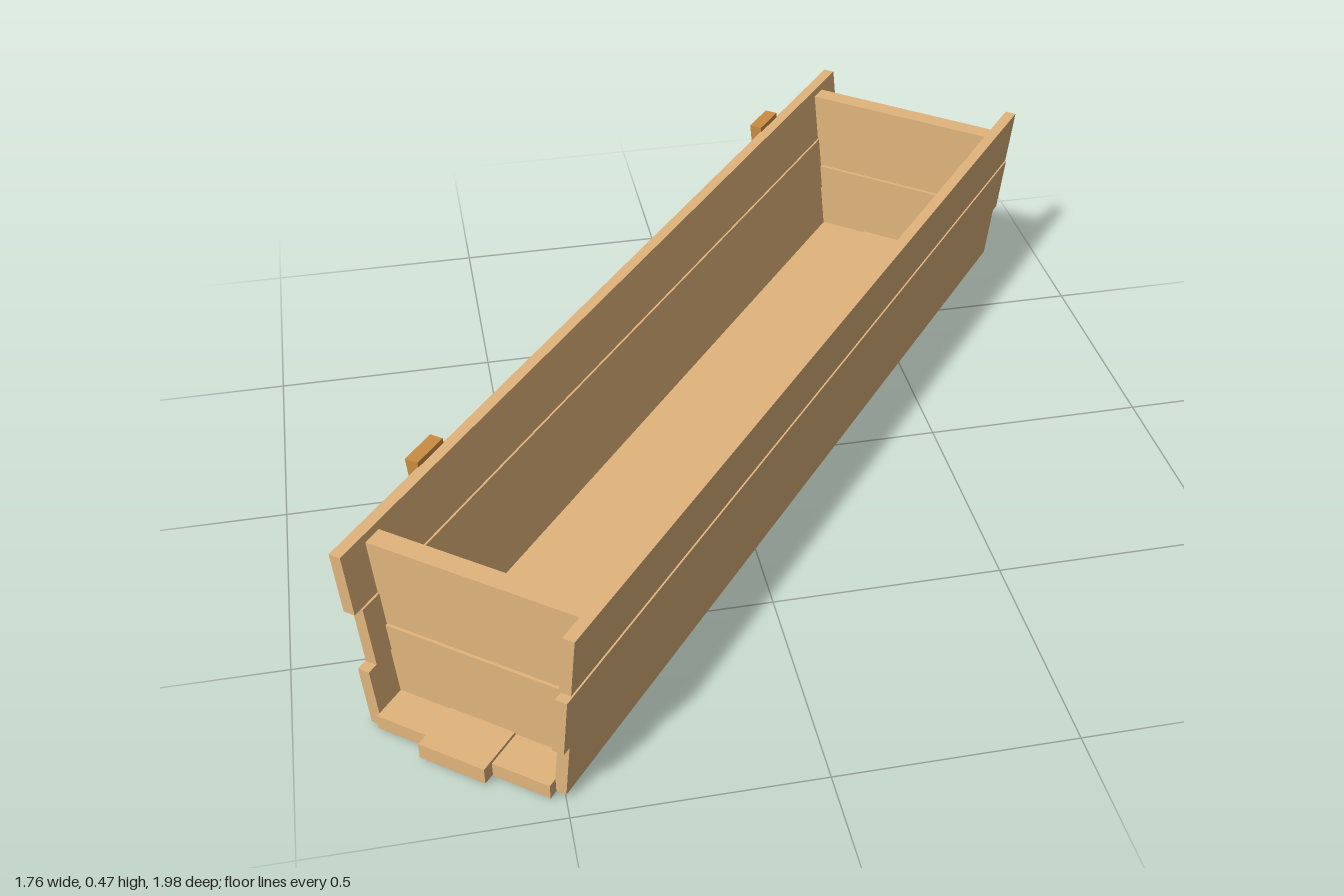
import * as THREE from 'three';

const HALF = 1.06;      // half length of the trough
const RIM = 0.267;      // outer half width at the rim
const BASE = 0.222;     // outer half width at the bottom
const HEIGHT = 0.415;
const LEAN = (RIM - BASE) / HEIGHT;

const wood = new THREE.MeshStandardMaterial({ color: 0xe0b47c });
const metal = new THREE.MeshStandardMaterial({ color: 0xc88c40 });

// Slight slope and twist of the whole trough
function lift(x, z) {
  const s = x / HALF, t = z / RIM;
  return 0.032 + 0.024 * s + 0.004 * t - 0.004 * s * t;
}

// Straight board between limits; place(p) then moves each corner
function board(name, x0, x1, y0, y1, z0, z1, place, material = wood) {
  const geo = new THREE.BoxGeometry(x1 - x0, y1 - y0, z1 - z0);
  geo.translate((x0 + x1) / 2, (y0 + y1) / 2, (z0 + z1) / 2);
  const pos = geo.attributes.position;
  const p = new THREE.Vector3();
  for (let i = 0; i < pos.count; i++) {
    p.fromBufferAttribute(pos, i);
    if (place) place(p);
    p.y += lift(p.x, p.z);
    pos.setXYZ(i, p.x, p.y, p.z);
  }
  geo.computeVertexNormals();
  const mesh = new THREE.Mesh(geo, material);
  mesh.name = name;
  return mesh;
}

// Side wall of three leaning planks with uneven ends
function sideWall(name, side, ends) {
  const wall = new THREE.Group();
  wall.name = name;
  const h = HEIGHT / 3;
  ends.forEach(([a, b, out], i) => {
    const outer = side * (BASE + out), inner = side * (BASE + out - 0.026);
    wall.add(board('sidePlank', a, b, i * h + 0.001, (i + 1) * h - 0.001,
      Math.min(outer, inner), Math.max(outer, inner),
      p => { p.z += side * LEAN * p.y; }));
  });
  return wall;
}

// End wall of two planks that widen with the leaning sides
function endWall(name, side) {
  const wall = new THREE.Group();
  wall.name = name;
  const x0 = side > 0 ? 0.942 : -0.992;
  for (const [y0, y1, inset] of [[0.034, 0.2, 0], [0.203, 0.397, 0.004]]) {
    wall.add(board('endPlank', x0 + inset, x0 + 0.05 - inset, y0, y1, -1, 1,
      p => { p.z *= BASE - 0.024 + LEAN * p.y; }));
  }
  return wall;
}

// Backing plate with a staple and a hanging ring
function ringHandle(x) {
  const handle = new THREE.Group();
  handle.name = 'ringHandle';
  handle.add(board('handlePlate', x - 0.043, x + 0.043, 0.075, 0.425, -BASE - 0.028, -BASE + 0.002,
    p => { p.z -= LEAN * p.y; }, metal));

  const y = 0.31 + lift(x, -RIM);
  const z = -BASE - LEAN * 0.31 - 0.028;

  const staple = new THREE.Mesh(new THREE.TorusGeometry(0.023, 0.009, 8, 20), metal);
  staple.name = 'staple';
  staple.rotation.y = Math.PI / 2;
  staple.position.set(x, y, z - 0.014);
  handle.add(staple);

  const R = 0.067, tilt = 0.42;
  const ring = new THREE.Mesh(new THREE.TorusGeometry(R, 0.014, 10, 32), metal);
  ring.name = 'ring';
  ring.rotation.x = tilt;
  ring.position.set(x, y - R * Math.cos(tilt), z - 0.018 - R * Math.sin(tilt));
  handle.add(ring);
  return handle;
}

export function createModel() {
  const model = new THREE.Group();
  model.name = 'trough';
  const body = new THREE.Group();
  body.name = 'troughBody';
  body.rotation.y = 0.8815;
  model.add(body);

  // Floor planks: start, end, near edge, far edge, thickness
  const floor = new THREE.Group();
  floor.name = 'floor';
  for (const [a, b, z0, z1, t] of [
    [-1.07, 1.06, -0.2, -0.084, 0.033],
    [-1.098, 1.105, -0.082, 0.069, 0.037],
    [-1.075, 1.07, 0.071, 0.2, 0.033],
  ]) floor.add(board('floorPlank', a, b, 0, t, z0, z1));
  body.add(floor);

  // Side planks from bottom to top: start, end, outward offset
  body.add(sideWall('frontWall', 1, [[-1.055, 1.048, 0], [-1.08, 1.06, 0.003], [-1.062, 1.062, 0]]));
  body.add(sideWall('backWall', -1, [[-1.062, 1.05, 0], [-1.04, 1.068, -0.003], [-1.06, 1.062, 0]]));
  body.add(endWall('leftEndWall', 1), endWall('rightEndWall', -1));

  for (const x of [-0.735, 0.735]) body.add(ringHandle(x));
  return model;
}
